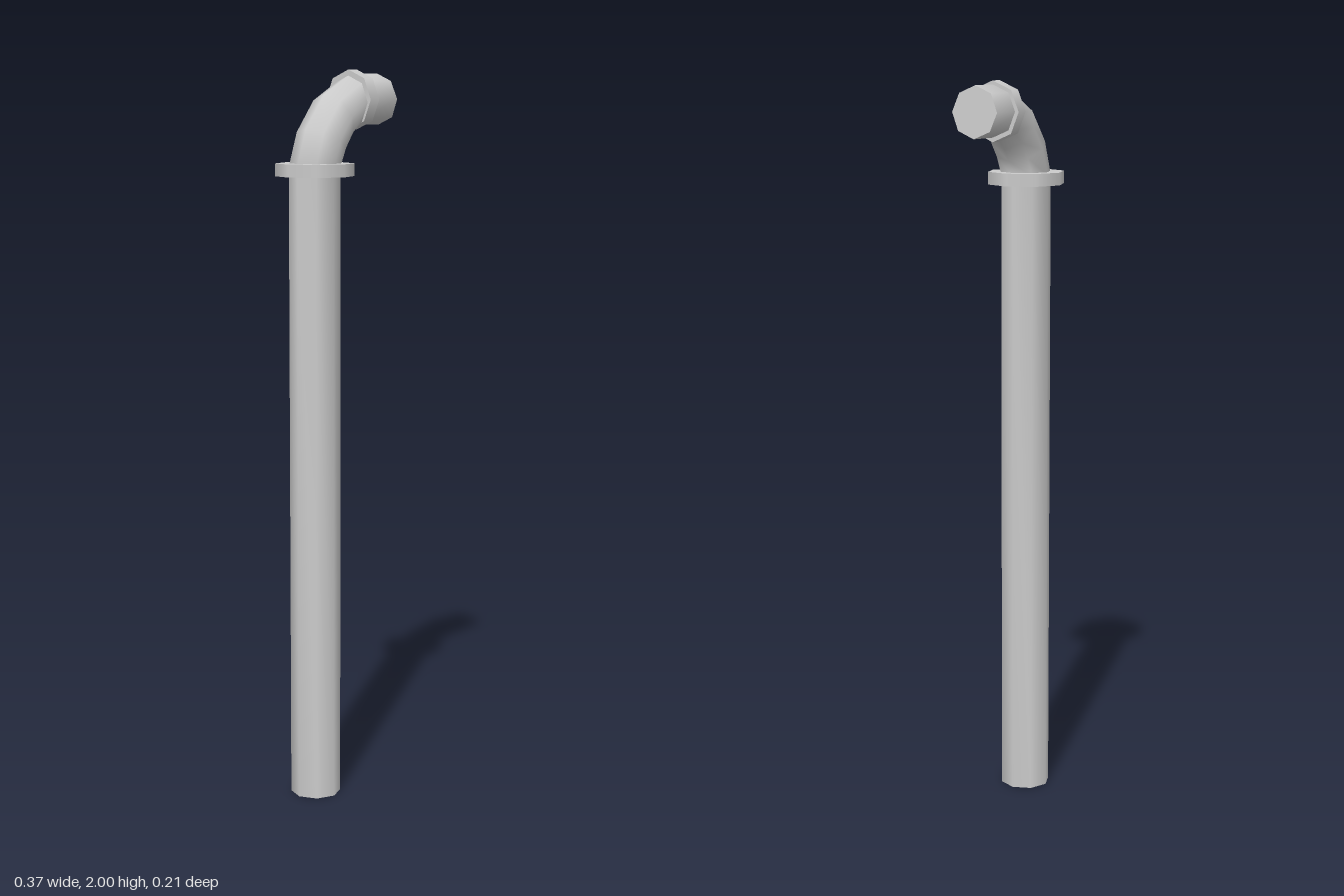
import * as THREE from 'three';

const SIDES = 8;
const RADIUS = 0.069;

// Cross-sections along the pipe: centre x, centre y, bend angle in degrees
const STATIONS = [
  [-0.078, 0, 0],
  [-0.078, 1.745, 0],
  [-0.051, 1.815, 25],
  [-0.003, 1.877, 58],
  [0.07, 1.921, 89],
  [0.18, 1.921, 86.5],
];

function ring([x, y, degrees]) {
  const a = THREE.MathUtils.degToRad(degrees);
  const points = [];
  for (let i = 0; i < SIDES; i++) {
    const t = (i / SIDES) * Math.PI * 2;
    const out = RADIUS * Math.cos(t);
    points.push(x - out * Math.cos(a), y + out * Math.sin(a), RADIUS * Math.sin(t));
  }
  return points;
}

function geometry(positions, index) {
  const g = new THREE.BufferGeometry();
  g.setAttribute('position', new THREE.Float32BufferAttribute(positions, 3));
  g.setIndex(index);
  g.computeVertexNormals();
  return g;
}

// Smooth wall joining neighbouring cross-sections
function wallGeometry() {
  const index = [];
  for (let k = 0; k < STATIONS.length - 1; k++) {
    for (let i = 0; i < SIDES; i++) {
      const a = k * SIDES + i;
      const b = k * SIDES + ((i + 1) % SIDES);
      index.push(a, b, a + SIDES, b, b + SIDES, a + SIDES);
    }
  }
  return geometry(STATIONS.flatMap(ring), index);
}

// Flat end face, facing along the pipe or back against it
function capGeometry(station, forward) {
  const index = [];
  for (let i = 1; i < SIDES - 1; i++) {
    index.push(0, ...(forward ? [i, i + 1] : [i + 1, i]));
  }
  return geometry(ring(station), index);
}

export function createModel() {
  const group = new THREE.Group();
  const material = new THREE.MeshStandardMaterial({ color: 0xcccccc });
  const add = (name, geo) => {
    const mesh = new THREE.Mesh(geo, material);
    mesh.name = name;
    group.add(mesh);
    return mesh;
  };

  // Upright pipe, elbow and outlet in one run
  add('pipe', wallGeometry());
  add('bottomCap', capGeometry(STATIONS[0], false));
  add('outletCap', capGeometry(STATIONS[STATIONS.length - 1], true));

  // Wide flange below the elbow
  const flange = add('flange', new THREE.CylinderGeometry(0.106, 0.106, 0.034, SIDES));
  flange.position.set(-0.078, 1.737, 0);

  // Collar around the outlet
  const collar = add('collar', new THREE.CylinderGeometry(0.08, 0.08, 0.035, SIDES));
  collar.rotation.z = -Math.PI / 2;
  collar.position.set(0.0745, 1.92, 0);

  return group;
}
